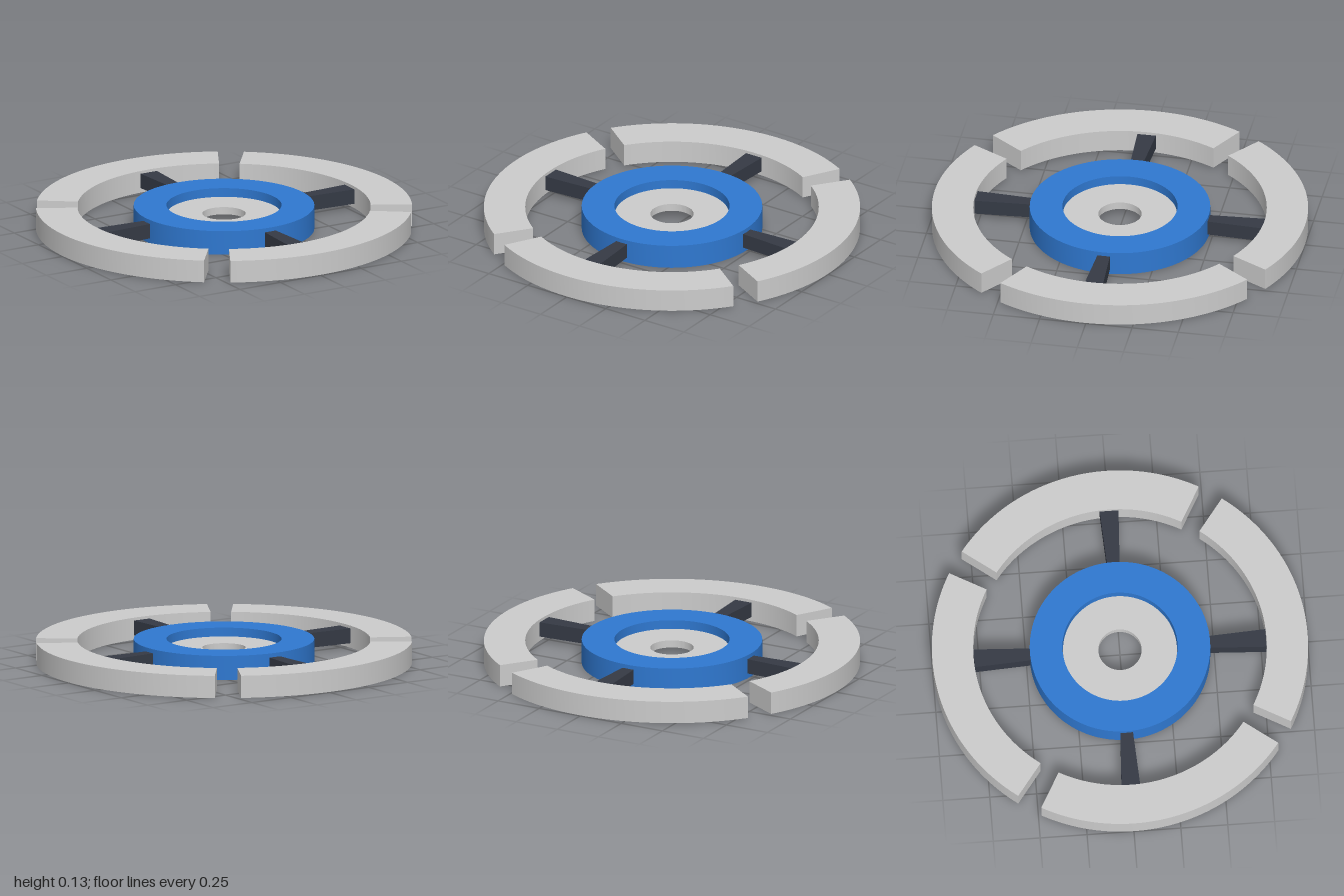
import * as THREE from 'three';
import { toCreasedNormals } from 'three/addons/utils/BufferGeometryUtils.js';

const grey = new THREE.MeshStandardMaterial({ color: 0xcccccc });
const blue = new THREE.MeshStandardMaterial({ color: 0x2f78d0 });
const dark = new THREE.MeshStandardMaterial({ color: 0x353a45 });

// Extrude a plan shape upwards from y0 to y1; smooth arcs, sharp edges.
function slab(name, shape, y0, y1, material) {
  const geo = new THREE.ExtrudeGeometry(shape, { depth: y1 - y0, bevelEnabled: false, curveSegments: 48 });
  geo.rotateX(-Math.PI / 2).translate(0, y0, 0);
  const mesh = new THREE.Mesh(toCreasedNormals(geo, 0.5), material);
  mesh.name = name;
  return mesh;
}

function annulus(outer, inner) {
  const shape = new THREE.Shape().absarc(0, 0, outer, 0, Math.PI * 2, false);
  shape.holes.push(new THREE.Path().absarc(0, 0, inner, 0, Math.PI * 2, true));
  return shape;
}

function arcBand(outer, inner, a0, a1) {
  const shape = new THREE.Shape();
  shape.absarc(0, 0, outer, a0, a1, false);
  shape.absarc(0, 0, inner, a1, a0, true);
  shape.closePath();
  return shape;
}

export function createModel() {
  const model = new THREE.Group();
  model.name = 'segmentedWheel';

  // Hub ring with a thin recessed disc inside it
  model.add(slab('hubRing', annulus(0.48, 0.306), 0, 0.13, blue));
  model.add(slab('hubDisc', annulus(0.303, 0.115), 0.043, 0.083, grey));

  // Rim segments with gaps, and spokes widening towards the rim
  const deg = Math.PI / 180;
  const segment = arcBand(1, 0.78, -29 * deg, 53 * deg);
  const spoke = new THREE.Shape([
    new THREE.Vector2(0.465, -0.033),
    new THREE.Vector2(0.778, -0.05),
    new THREE.Vector2(0.778, 0.05),
    new THREE.Vector2(0.465, 0.033),
  ]);
  for (let i = 0; i < 4; i++) {
    const quarter = new THREE.Group();
    quarter.name = `quarter${i + 1}`;
    quarter.add(slab('rimSegment', segment, 0.003, 0.123, grey));
    quarter.add(slab('spoke', spoke, 0.028, 0.108, dark));
    quarter.rotation.y = i * Math.PI / 2;
    model.add(quarter);
  }
  return model;
}
